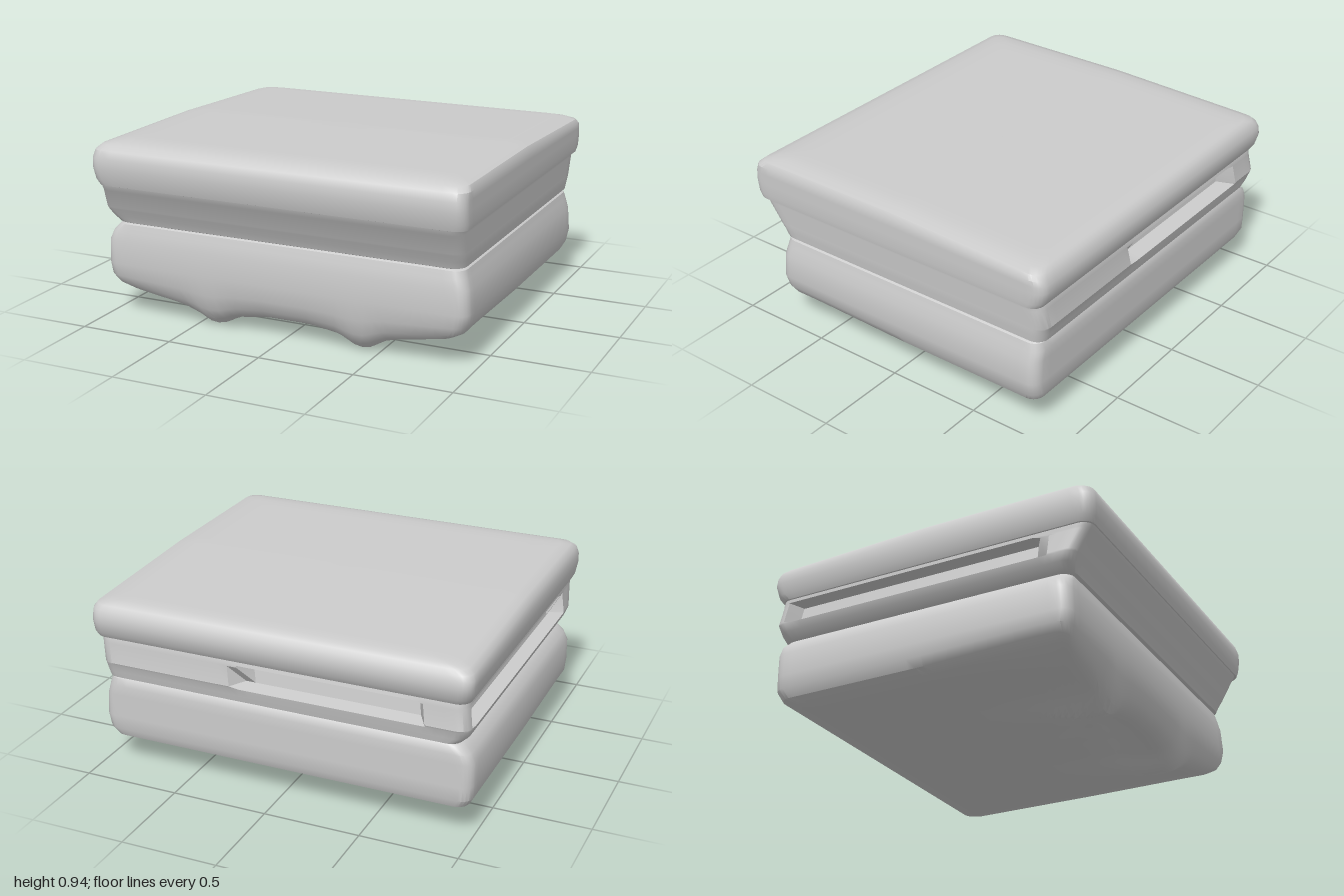
import * as THREE from 'three';
import { toCreasedNormals } from 'three/addons/utils/BufferGeometryUtils.js';

const material = new THREE.MeshStandardMaterial({ color: 0xcccccc, side: THREE.DoubleSide });
const SIDE = 36, ARC = 5;

// Rounded rectangle, counter-clockwise seen from above
function outline([y, x0, x1, z0, z1, r = 0.06], scale = 1) {
  const cx = (x0 + x1) / 2, cz = (z0 + z1) / 2, pts = [];
  const corners = [[x1 - r, z1 - r, -90], [x1 - r, z0 + r, 0], [x0 + r, z0 + r, 90], [x0 + r, z1 - r, 180]];
  corners.forEach(([x, z, start], k) => {
    const [nx, nz] = corners[(k + 1) % 4];
    let end;
    for (let i = 0; i <= ARC; i++) {
      const a = (start + 90 * i / ARC) * Math.PI / 180;
      end = [x + r * Math.cos(a), z - r * Math.sin(a)];
      pts.push(end);
    }
    for (let i = 1; i < SIDE; i++) {
      pts.push([end[0] + (nx - x) * i / SIDE, end[1] + (nz - z) * i / SIDE]);
    }
  });
  return pts.map(([x, z]) => new THREE.Vector3(cx + (x - cx) * scale, y, cz + (z - cz) * scale));
}

// Lofts the levels from bottom to top, closes both ends, then moves vertices by a rule
function loft(name, levels, rule, capRings = 12) {
  const rings = [];
  for (let i = 0; i < capRings; i++) rings.push(outline(levels[0], 0.001 + i / capRings));
  levels.forEach(l => rings.push(outline(l)));
  for (let i = capRings - 1; i >= 0; i--) rings.push(outline(levels.at(-1), 0.001 + i / capRings));
  const n = rings[0].length, pos = [], index = [];
  rings.forEach(ring => ring.forEach(p => { rule(p); pos.push(p.x, p.y, p.z); }));
  for (let i = 0; i < rings.length - 1; i++) {
    for (let j = 0; j < n; j++) {
      const a = i * n + j, b = i * n + (j + 1) % n;
      index.push(a, b, a + n, b, b + n, a + n);
    }
  }
  const geo = new THREE.BufferGeometry();
  geo.setAttribute('position', new THREE.Float32BufferAttribute(pos, 3));
  geo.setIndex(index);
  const mesh = new THREE.Mesh(toCreasedNormals(geo, 0.6), material);
  mesh.name = name;
  return mesh;
}

// Linear interpolation through a few points
function along(points, t) {
  for (let i = 1; i < points.length; i++) {
    const [a, va] = points[i - 1], [b, vb] = points[i];
    if (t <= b) return va + (vb - va) * Math.max(0, (t - a) / (b - a));
  }
  return points.at(-1)[1];
}

// Underside: two feet near the front, shallow hollow between them
const across = [[0, 0.08], [0.12, 0.08], [0.28, 0.055], [0.37, 0.005], [0.43, 0], [0.48, 0.03], [0.54, 0.065], [0.8, 0.115], [1, 0.16]];
const depth = [[0, 0], [0.5, 0.93], [0.58, 1], [0.66, 1], [0.76, 0.7]];
function underside(p) {
  const w = THREE.MathUtils.clamp((0.26 - p.y) / 0.13, 0, 1);
  const hollow = 0.07 * Math.max(0, 1 - Math.abs(p.x) / 0.3) * Math.max(0, 1 - Math.abs(p.z - 0.42) / 0.22);
  p.y += w * ((along(across, Math.abs(p.x)) - 0.13) * along(depth, p.z) + hollow);
}

// Middle band: long slots in the back and in the right side
function slots(p) {
  if (p.y > 0.585 && p.y < 0.695) {
    if (p.z < -0.8 && p.x > -0.74 && p.x < 0.19) p.z += 0.09;
    if (p.x < -0.9 && p.z > -0.78 && p.z < 0.62) p.x += 0.07;
  }
}

export function createModel() {
  const model = new THREE.Group();
  model.name = 'layeredCase';

  model.add(loft('lowerBody', [
    [0.13, -0.84, 0.8, -0.7, 0.68],
    [0.14, -0.92, 0.89, -0.78, 0.72],
    [0.165, -0.97, 0.94, -0.83, 0.75],
    [0.21, -0.995, 0.965, -0.85, 0.77],
    [0.28, -1, 0.98, -0.85, 0.78],
    [0.4, -1, 0.97, -0.85, 0.775],
    [0.45, -0.98, 0.955, -0.85, 0.765],
    [0.49, -0.94, 0.945, -0.84, 0.755],
    [0.5, -0.92, 0.93, -0.83, 0.74],
  ], underside, 20));

  model.add(loft('middleBand', [
    [0.495, -0.92, 0.93, -0.83, 0.74],
    [0.505, -0.935, 0.945, -0.855, 0.765],
    [0.54, -0.97, 0.95, -0.865, 0.78],
    [0.58, -0.985, 0.955, -0.875, 0.805],
    [0.59, -0.985, 0.955, -0.88, 0.81],
    [0.69, -0.97, 0.97, -0.865, 0.86],
    [0.7, -0.97, 0.97, -0.865, 0.867],
    [0.72, -0.97, 0.975, -0.86, 0.875],
  ], slots));

  // Lid, its top sloping slightly down to the back
  model.add(loft('lid', [
    [0.715, -0.965, 0.98, -0.85, 0.865],
    [0.72, -0.975, 0.995, -0.865, 0.88],
    [0.75, -0.99, 1, -0.885, 0.89],
    [0.81, -1, 1, -0.9, 0.9],
    [0.86, -1, 1, -0.895, 0.898],
    [0.9, -0.99, 1, -0.885, 0.885],
    [0.925, -0.965, 0.985, -0.87, 0.855],
    [0.938, -0.92, 0.94, -0.85, 0.81],
    [0.945, -0.85, 0.88, -0.82, 0.74],
  ], p => { p.y -= 0.035 * Math.max(0, -p.z) * THREE.MathUtils.clamp((p.y - 0.81) / 0.1, 0, 1); }));

  return model;
}
